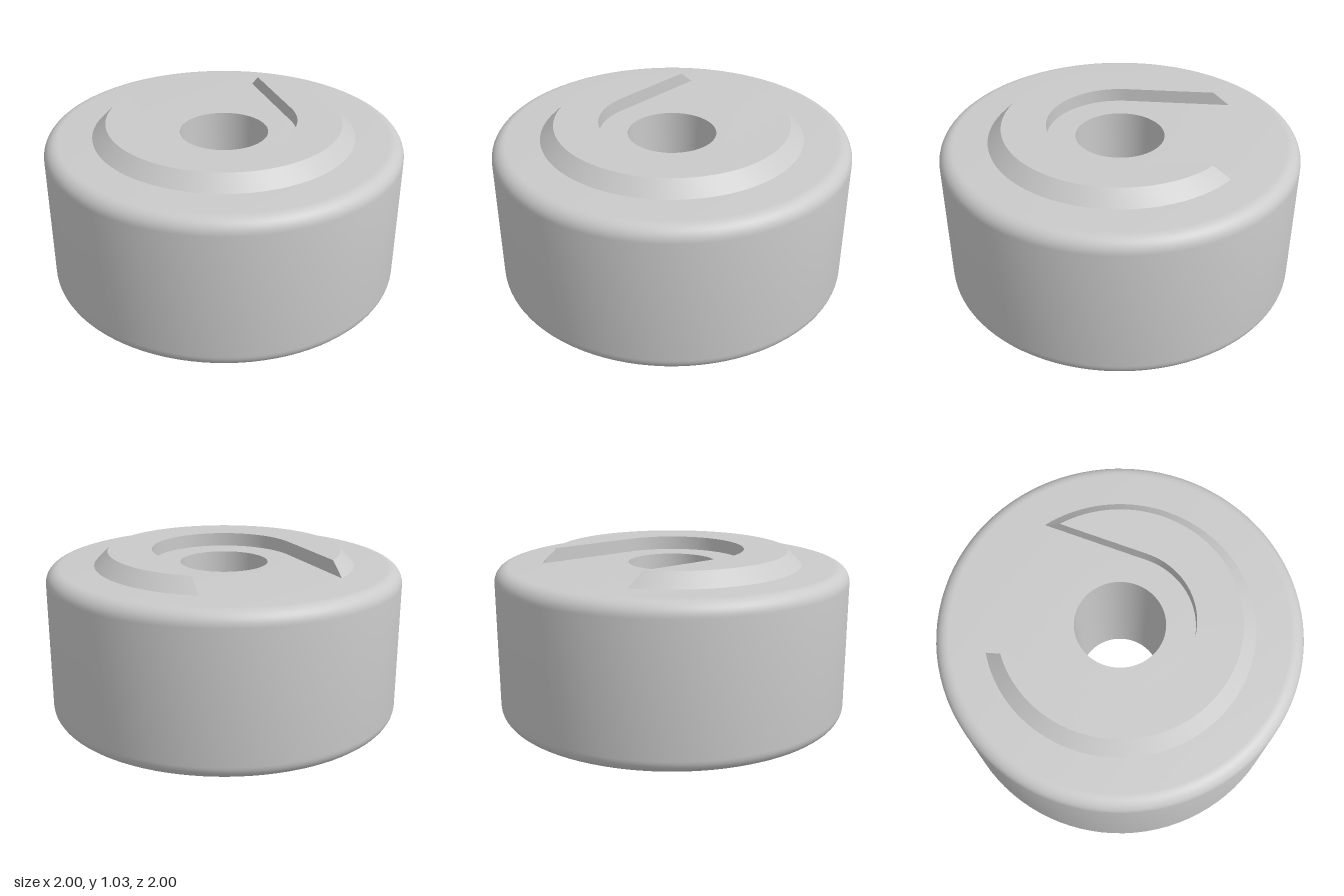
import * as THREE from 'three';
import { toCreasedNormals } from 'three/addons/utils/BufferGeometryUtils.js';

const BOTTOM = 0.08, TOP = 0.953, MID = (BOTTOM + TOP) / 2;
const RIDGE = 0.077;          // ridge height
const HOLE = 0.248, SLOT = 0.408; // hole radius, slot half width
const R_BASE = 0.732, R_TOP = 0.655; // chamfered outer radii of the ridge

// Puck with rounded rims and a through hole
function bodyGeometry() {
  const f = 0.08, steps = 8;
  const pts = [new THREE.Vector2(HOLE, BOTTOM)];
  const rim = (cy, start) => {
    for (let i = 0; i <= steps; i++) {
      const a = start + (i / steps) * Math.PI / 2;
      pts.push(new THREE.Vector2(1 - f + f * Math.cos(a), cy + f * Math.sin(a)));
    }
  };
  rim(BOTTOM + f, -Math.PI / 2);
  rim(TOP - f, 0);
  pts.push(new THREE.Vector2(HOLE, TOP), new THREE.Vector2(HOLE, BOTTOM));
  return toCreasedNormals(new THREE.LatheGeometry(pts, 96), 0.5);
}

// Point on the outer arc, which ends where it meets the slot wall
function outerPoint(u, r, y) {
  const a = u * (Math.PI - Math.asin(SLOT / r));
  return [r * Math.sin(a), y, r * Math.cos(a)];
}

// Point on the U-shaped slot: half circle, then straight legs toward -z
function innerPoint(u, r, y) {
  const t = Math.abs(u), s = Math.sign(u);
  if (t <= 0.5) return [SLOT * Math.sin(u * Math.PI), y, SLOT * Math.cos(u * Math.PI)];
  return [s * SLOT, y, -(t - 0.5) * 2 * Math.sqrt(r * r - SLOT * SLOT)];
}

// Smooth strip between two edge curves
function strip(edgeA, edgeB) {
  const n = 96, pos = [], idx = [];
  for (let i = 0; i <= n; i++) {
    const u = -1 + (2 * i) / n;
    pos.push(...edgeA(u), ...edgeB(u));
    if (i < n) {
      const k = 2 * i;
      idx.push(k, k + 2, k + 1, k + 1, k + 2, k + 3);
    }
  }
  const g = new THREE.BufferGeometry();
  g.setAttribute('position', new THREE.Float32BufferAttribute(pos, 3));
  g.setIndex(idx);
  g.computeVertexNormals();
  return g;
}

// Horseshoe ridge standing on y = 0, open toward -z
function makeRidge(name, material) {
  const ridge = new THREE.Group();
  ridge.name = name;
  const outerBase = u => outerPoint(u, R_BASE, 0);
  const outerTop = u => outerPoint(u, R_TOP, RIDGE);
  const innerTop = u => innerPoint(u, R_TOP, RIDGE);
  const innerBase = u => innerPoint(u, R_BASE, 0);
  const add = (part, a, b) => {
    const mesh = new THREE.Mesh(strip(a, b), material);
    mesh.name = part;
    ridge.add(mesh);
  };
  add('chamfer', outerBase, outerTop);
  add('ridgeFace', outerTop, innerTop);
  add('slotWall', innerTop, innerBase);
  return ridge;
}

export function createModel() {
  const group = new THREE.Group();
  group.name = 'slottedRoller';
  const grey = new THREE.MeshStandardMaterial({ color: 0xcacaca });
  grey.name = 'light grey';

  const body = new THREE.Mesh(bodyGeometry(), grey);
  body.name = 'body';
  group.add(body);

  const upper = makeRidge('upperRidge', grey);
  upper.position.y = TOP;
  group.add(upper);

  // The lower ridge is turned over, so its slot opens to the front
  const lower = makeRidge('lowerRidge', grey);
  lower.rotation.x = Math.PI;
  lower.position.y = RIDGE + 0.003;
  group.add(lower);
  lower.position.y = BOTTOM;

  // Rest the lower ridge on the ground
  group.children.forEach(part => { part.position.y -= BOTTOM - RIDGE; });
  return group;
}
